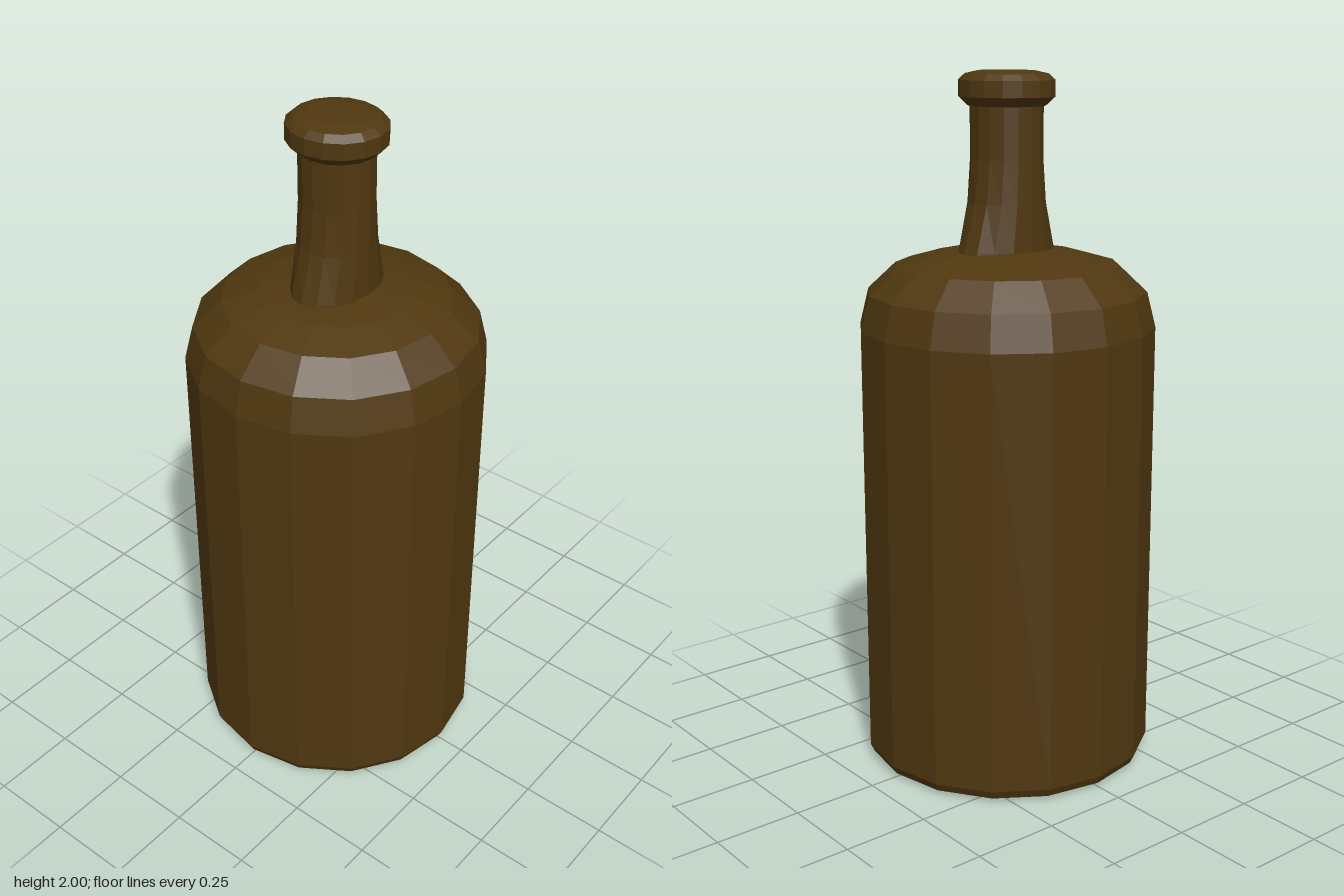
import * as THREE from 'three';

const SIDES = 16;

// Lathe whose rings [y, rx, rz] may be elliptical, listed bottom to top
function ringLoft(rings) {
  const geo = new THREE.LatheGeometry(rings.map(([y]) => new THREE.Vector2(1, y)), SIDES);
  const pos = geo.attributes.position;
  for (let i = 0; i < pos.count; i++) {
    const [y, rx, rz = rx] = rings[i % rings.length];
    pos.setXYZ(i, pos.getX(i) * rx, y, pos.getZ(i) * rz);
  }
  const flat = geo.toNonIndexed();
  flat.computeVertexNormals();
  return flat;
}

export function createModel() {
  const group = new THREE.Group();
  group.name = 'bottle';
  const glass = new THREE.MeshStandardMaterial({ color: 0x503810, flatShading: true });
  glass.name = 'brown glass';

  const add = (name, rings) => {
    const mesh = new THREE.Mesh(ringLoft(rings), glass);
    mesh.name = name;
    group.add(mesh);
  };

  // Cylindrical body with a small foot bevel and rounded shoulder
  add('body', [
    [0, 0], [0, 0.395], [0.01, 0.413], [0.035, 0.425], [1.29, 0.425],
    [1.39, 0.4], [1.465, 0.32], [1.495, 0.215], [1.51, 0.1], [1.51, 0],
  ]);

  // Neck flares front to back only where it meets the shoulder
  add('neck', [
    [1.49, 0.11, 0.155], [1.51, 0.11, 0.15], [1.64, 0.108, 0.113],
    [1.76, 0.107, 0.1], [1.92, 0.107, 0.1],
  ]);

  // Flanged lip with a closed, softly domed top
  add('lip', [
    [1.905, 0.1, 0.095], [1.905, 0.112, 0.106], [1.93, 0.14, 0.132],
    [1.975, 0.14, 0.132], [1.992, 0.12, 0.114], [2, 0.088, 0.075], [2, 0, 0],
  ]);

  return group;
}
